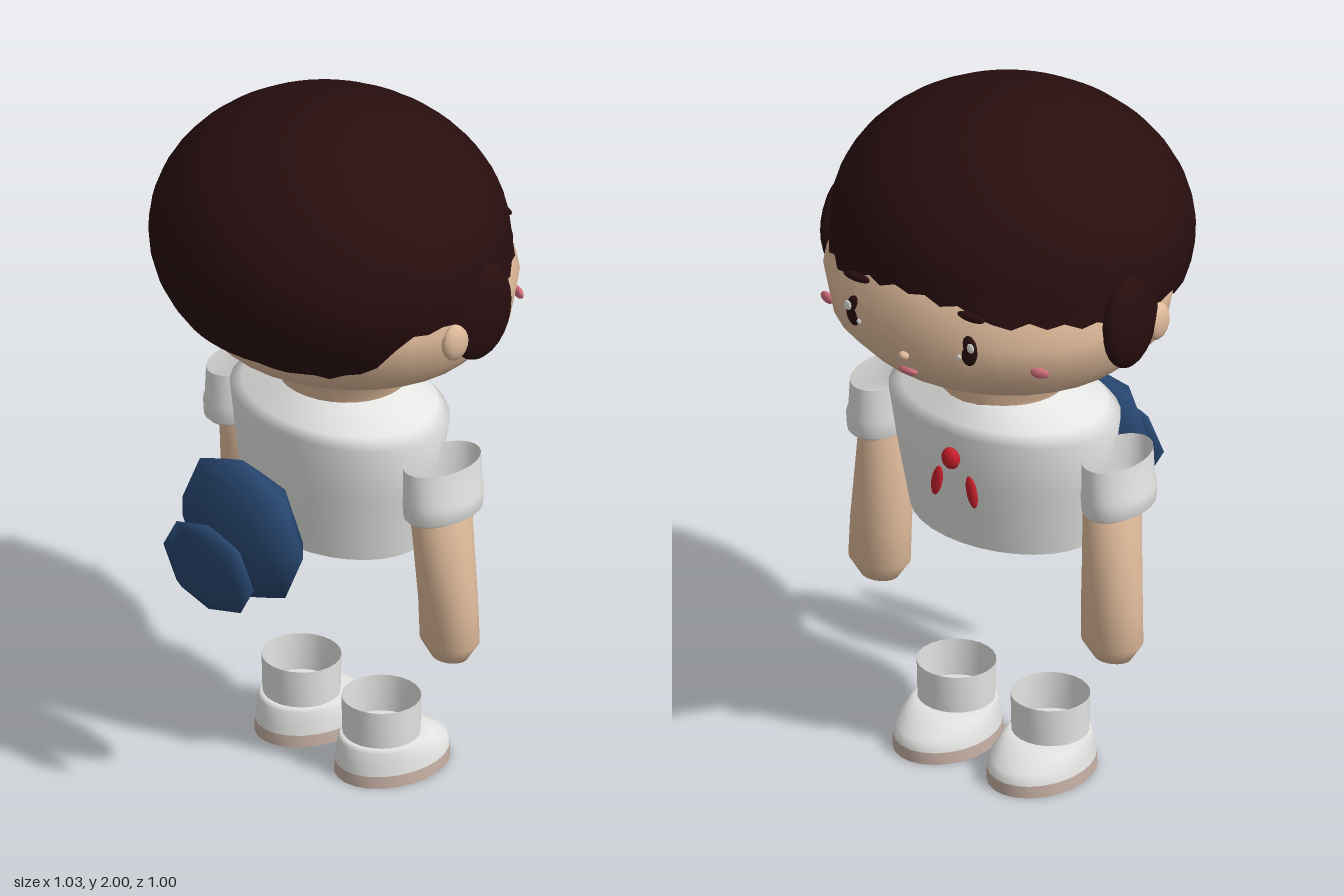
import * as THREE from 'three';
import { mergeVertices } from 'three/addons/utils/BufferGeometryUtils.js';

const mat = (name, color, side = THREE.FrontSide) => {
  const m = new THREE.MeshStandardMaterial({ color, side });
  m.name = name;
  return m;
};

// Piecewise linear lookup in [input, output] pairs
function lookup(pairs, v) {
  for (let i = 1; i < pairs.length; i++) {
    const [a, p] = pairs[i - 1], [b, q] = pairs[i];
    if (v <= b) return p + (q - p) * Math.max(0, (v - a) / (b - a));
  }
  return pairs[pairs.length - 1][1];
}

// Smooth stack of ellipses, bottom to top: [rx, rz, y, cx, cz]
function loft(rows, segments = 24) {
  const g = new THREE.LatheGeometry(rows.map((r, j) => new THREE.Vector2(1, j)), segments);
  const p = g.attributes.position;
  for (let i = 0; i < p.count; i++) {
    const [rx, rz, y, cx = 0, cz = 0] = rows[i % rows.length];
    p.setXYZ(i, p.getX(i) * rx + cx, y, p.getZ(i) * rz + cz);
  }
  g.deleteAttribute('uv');
  g.deleteAttribute('normal');
  const merged = mergeVertices(g, 1e-5);
  merged.computeVertexNormals();
  return merged;
}

export function createModel() {
  const model = new THREE.Group();
  const skin = mat('skin', 0xe0bb9b);
  const hairColor = mat('dark brown hair', 0x280e0f, THREE.DoubleSide);
  const cloth = mat('white cloth', 0xe4e4e2, THREE.DoubleSide);
  const sole = mat('beige sole', 0xc6b0a4);
  const blue = mat('navy blue', 0x27466f);
  const red = mat('red', 0xc8202c);
  const pink = mat('pink', 0xd4707e);

  const add = (name, geometry, material) => {
    const m = new THREE.Mesh(geometry, material);
    m.name = name;
    model.add(m);
    return m;
  };
  const blob = (name, material, pos, radii, w = 16, h = 10) => {
    const m = add(name, new THREE.SphereGeometry(1, w, h), material);
    m.position.set(...pos);
    m.scale.set(...radii);
    return m;
  };

  // Head: wide rounded bowl shape, its face towards -z
  const headProfile = [[1.22, 0.1], [1.245, 0.21], [1.31, 0.39], [1.39, 0.47], [1.5, 0.492],
    [1.62, 0.45], [1.73, 0.34], [1.85, 0]];
  const headZ = -0.045, headDepth = 0.92;
  add('head', loft(headProfile.map(([y, r]) => [r, r * headDepth, y, 0, headZ]), 32), skin);
  add('neck', loft([[0.165, 0.17, 1.12, 0, -0.04], [0.17, 0.175, 1.17, 0, -0.04],
    [0.215, 0.195, 1.25, 0, -0.03]]), skin);

  // Hair cap: upper ellipsoid with a hairline that varies around the head
  const hairline = [[0, 1.41], [22, 1.41], [25, 1.35], [29, 1.4], [45, 1.39], [64, 1.43],
    [69, 1.53], [112, 1.54], [140, 1.57], [152, 1.565], [158, 1.6], [180, 1.62]];
  const cap = new THREE.SphereGeometry(1, 64, 14, 0, Math.PI * 2, 0, Math.PI / 2);
  const p = cap.attributes.position;
  for (let i = 0; i < p.count; i++) {
    const a = Math.atan2(p.getX(i), p.getZ(i));
    const deg = Math.abs(a) * 180 / Math.PI;
    const edge = lookup(hairline, deg) + 0.008 * Math.sin(deg * 0.55);
    const t = Math.acos(Math.min(1, Math.max(0, p.getY(i)))) / (Math.PI / 2);
    const polar = t * Math.acos((edge - 1.615) / 0.385);
    const y = 1.615 + 0.385 * Math.cos(polar);
    let x = Math.sin(a) * Math.sin(polar) * 0.506;
    let z = 0.015 + Math.cos(a) * Math.sin(polar) * 0.48;
    // Keep the hair just outside the head
    const r = lookup(headProfile, y);
    const d = Math.hypot(x / r, (z - headZ) / (r * headDepth));
    if (r > 0.1 && d < 1.015) {
      x *= 1.015 / d;
      z = headZ + (z - headZ) * 1.015 / d;
    }
    p.setXYZ(i, x, y, z);
  }
  cap.deleteAttribute('uv');
  cap.deleteAttribute('normal');
  const hair = mergeVertices(cap, 1e-5);
  hair.computeVertexNormals();
  add('hair', hair, hairColor);

  blob('nose', skin, [0, 1.43, -0.49], [0.016, 0.013, 0.013]);
  blob('mouth', pink, [0, 1.375, -0.468], [0.03, 0.013, 0.013]);

  // Shirt body, open at the hem
  add('shirt', loft([[0.285, 0.212, 0.725, 0, -0.012], [0.32, 0.235, 0.92, 0, -0.018],
    [0.345, 0.25, 1.085, 0, -0.022], [0.3, 0.232, 1.112, 0, -0.022],
    [0.185, 0.175, 1.165, 0, -0.035]], 32), cloth);

  // Bow on the chest
  blob('bowKnot', red, [0, 1.01, -0.272], [0.028, 0.032, 0.02]);

  // Backpack with a front pocket
  blob('backpack', blue, [0, 0.82, 0.342], [0.237, 0.212, 0.093], 8, 4);
  blob('backpackPocket', blue, [0, 0.748, 0.469], [0.178, 0.13, 0.032], 8, 4);

  for (const s of [1, -1]) {
    const side = s > 0 ? 'left' : 'right';
    // Face and side hair
    blob(side + 'SideLock', hairColor, [s * 0.472, 1.52, -0.095], [0.044, 0.145, 0.113], 24, 14);
    blob(side + 'Ear', skin, [s * 0.487, 1.47, 0.01], [0.026, 0.055, 0.045]);
    blob(side + 'Eye', hairColor, [s * 0.19, 1.49, -0.452], [0.028, 0.046, 0.014]);
    blob(side + 'EyeShine', cloth, [s * 0.205, 1.508, -0.465], [0.012, 0.015, 0.004]);
    blob(side + 'EyeGlint', cloth, [s * 0.167, 1.47, -0.466], [0.007, 0.008, 0.004]);
    blob(side + 'Brow', hairColor, [s * 0.19, 1.59, -0.442], [0.045, 0.013, 0.012]);
    const cheek = blob(side + 'Cheek', pink, [s * 0.355, 1.43, -0.352], [0.027, 0.016, 0.01]);
    cheek.rotation.y = s * -0.3;
    const tail = blob(side + 'BowTail', red, [s * 0.058, 0.915, -0.255], [0.017, 0.048, 0.01]);
    tail.rotation.z = s * 0.2;

    // Arm and open sleeve
    add(side + 'Arm', loft([[0, 0, 0.415, s * 0.39, -0.06], [0.055, 0.045, 0.428, s * 0.39, -0.062],
      [0.09, 0.073, 0.48, s * 0.389, -0.063], [0.088, 0.075, 0.6, s * 0.386, -0.06],
      [0.073, 0.095, 0.89, s * 0.375, -0.043], [0, 0, 0.91, s * 0.375, -0.043]]), skin);
    add(side + 'Sleeve', loft([[0.07, 0.1, 0.9, s * 0.388, -0.036], [0.074, 0.115, 0.885, s * 0.39, -0.036],
      [0.088, 0.124, 0.895, s * 0.392, -0.036], [0.09, 0.127, 0.94, s * 0.392, -0.036],
      [0.083, 0.126, 0.96, s * 0.39, -0.036], [0.08, 0.125, 1.045, s * 0.387, -0.036]]), cloth);

    // Shoe with a flat sole and an open sock
    const x = s * 0.157;
    add(side + 'Sole', loft([[0, 0, 0, x, -0.068], [0.136, 0.176, 0, x, -0.068]]), sole);
    add(side + 'SoleEdge', loft([[0.136, 0.176, 0, x, -0.068], [0.134, 0.174, 0.035, x, -0.068]]), sole);
    add(side + 'Shoe', loft([[0.134, 0.174, 0.035, x, -0.068], [0.129, 0.167, 0.065, x, -0.066],
      [0.12, 0.135, 0.1, x, -0.043], [0.11, 0.11, 0.112, x, -0.028], [0, 0, 0.112, x, -0.028]]), cloth);
    add(side + 'Sock', loft([[0.107, 0.105, 0.105, x, -0.028], [0.109, 0.108, 0.222, x, -0.028]]), cloth);
  }
  return model;
}
